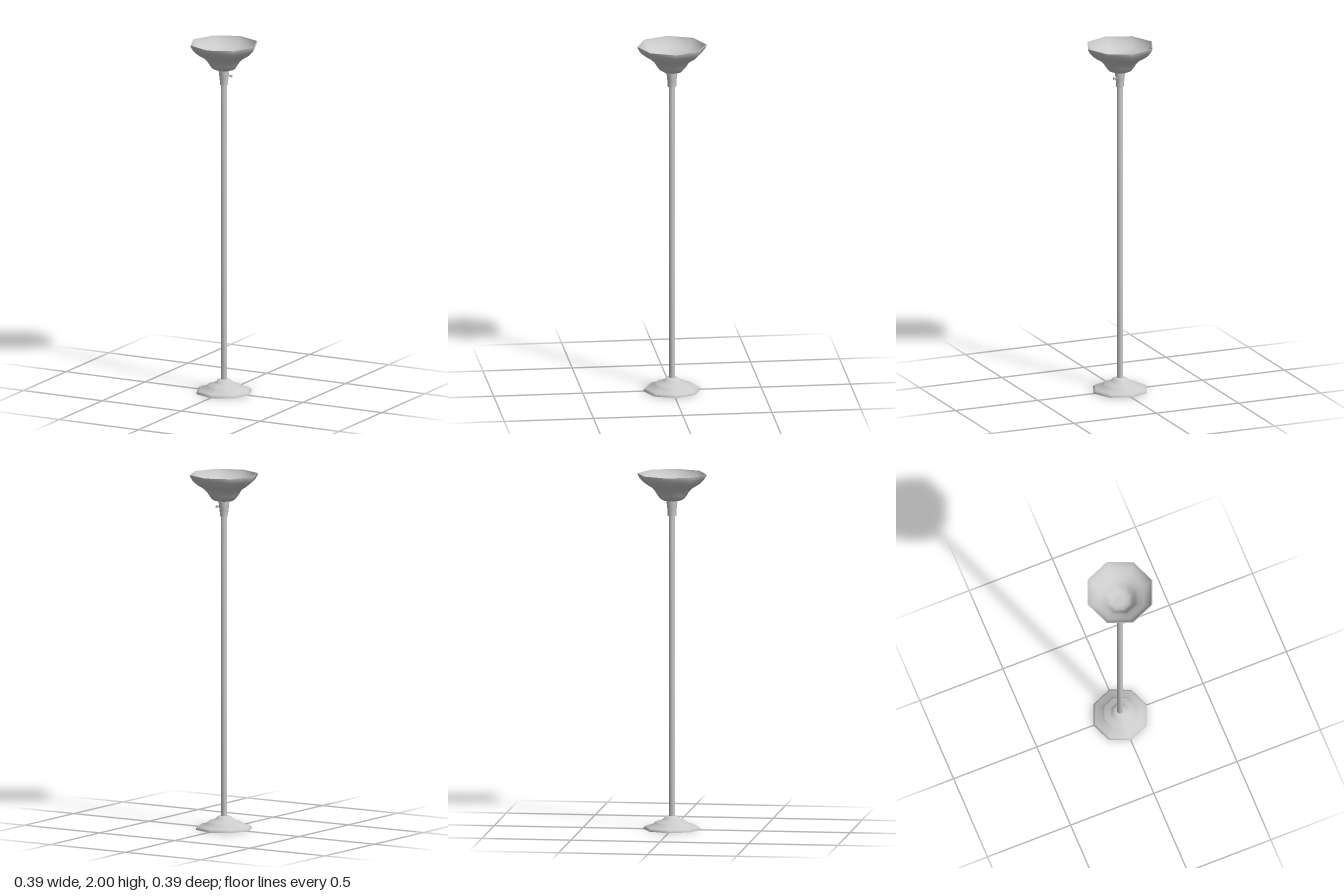
import * as THREE from 'three';
import { toCreasedNormals } from 'three/addons/utils/BufferGeometryUtils.js';

const material = new THREE.MeshStandardMaterial({ color: 0xcccccc, side: THREE.DoubleSide });

// Eight-sided turned part from [radius, height] pairs, listed from the bottom up the outside
function turned(name, profile, crease = 0.85) {
  const points = profile.map(([r, y]) => new THREE.Vector2(r, y));
  const mesh = new THREE.Mesh(toCreasedNormals(new THREE.LatheGeometry(points, 8), crease), material);
  mesh.name = name;
  return mesh;
}

export function createModel() {
  const lamp = new THREE.Group();
  lamp.name = 'floorLamp';

  // Stepped foot
  lamp.add(turned('base', [
    [0, 0], [0.16, 0], [0.16, 0.008], [0.148, 0.018], [0.105, 0.03], [0.1, 0.037],
    [0.09, 0.044], [0.06, 0.053], [0.048, 0.06], [0.042, 0.068], [0.03, 0.075], [0, 0.076],
  ]));

  // Long straight pole
  lamp.add(turned('pole', [[0.018, 0.07], [0.018, 1.78]]));

  // Tapered socket under the shade
  lamp.add(turned('socket', [
    [0, 1.763], [0.024, 1.763], [0.024, 1.785], [0.026, 1.8], [0.031, 1.845], [0.031, 1.853], [0, 1.853],
  ]));

  // Flared bowl: outside going up, thin rim, inside coming down
  const bowl = [
    [0.03, 1.848], [0.055, 1.852], [0.07, 1.862], [0.083, 1.88], [0.097, 1.902],
    [0.115, 1.92], [0.145, 1.938], [0.165, 1.953], [0.182, 1.972], [0.192, 1.99],
  ];
  const inside = bowl.map(([r, y]) => [r - 0.004, y + 0.004]).reverse();
  lamp.add(turned('shade', [[0, 1.847], ...bowl, [0.195, 2], [0.19, 2], ...inside, [0, 1.851]]));

  // Turn switch on the socket: stem and knob
  const lampSwitch = new THREE.Group();
  lampSwitch.name = 'switch';
  for (const [name, radius, length, x] of [['switchStem', 0.004, 0.025, 0.026], ['switchKnob', 0.008, 0.01, 0.04]]) {
    const part = new THREE.Mesh(new THREE.CylinderGeometry(radius, radius, length, 8), material);
    part.name = name;
    part.rotation.z = Math.PI / 2;
    part.position.x = x;
    lampSwitch.add(part);
  }
  lampSwitch.position.set(0, 1.816, -0.01);
  lamp.add(lampSwitch);

  return lamp;
}
